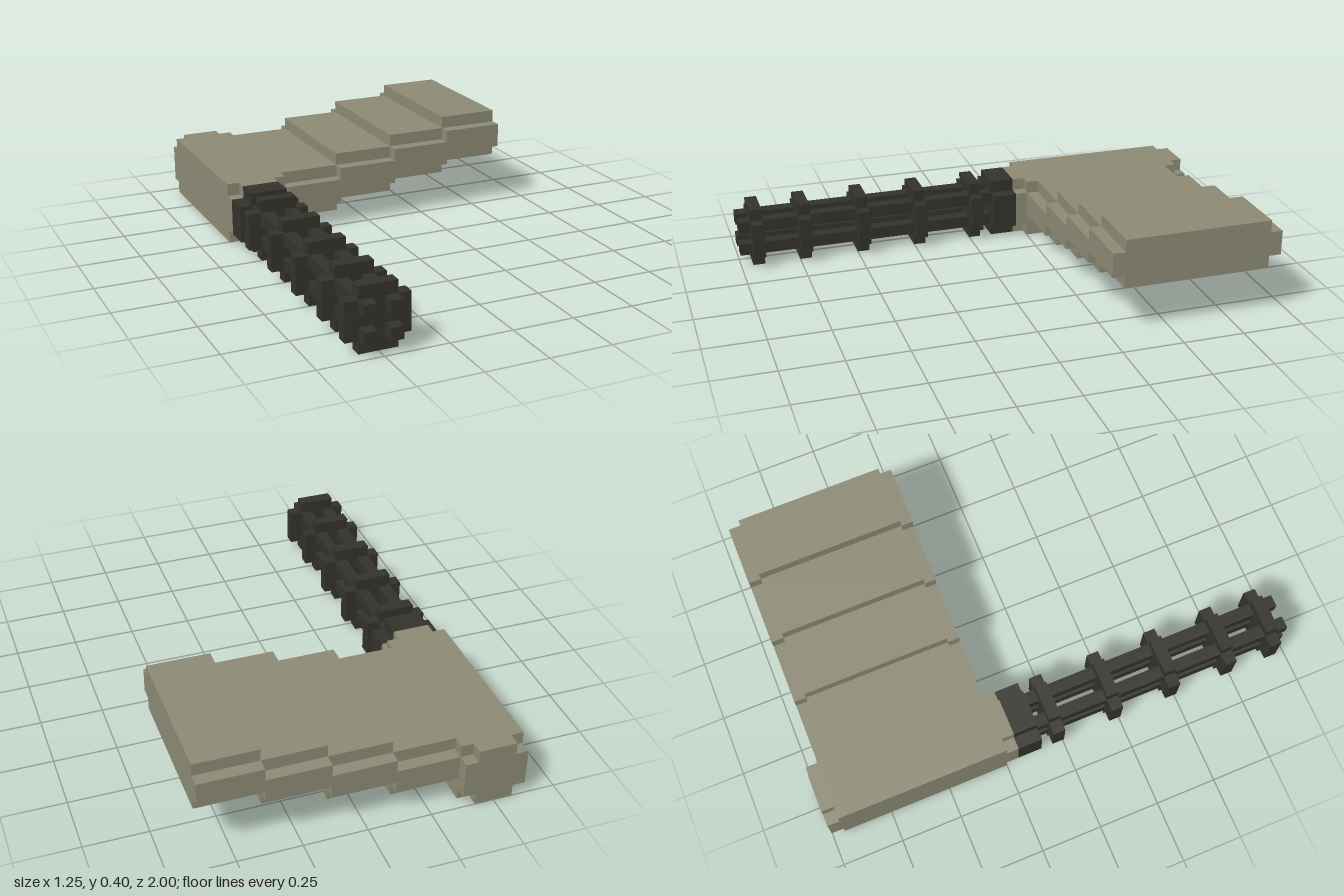
import * as THREE from 'three';

const U = 0.05; // one block unit
const stone = new THREE.MeshStandardMaterial({ color: 0x8c8974, flatShading: true });
stone.name = 'grey stone';
const grip = new THREE.MeshStandardMaterial({ color: 0x33322b, flatShading: true });
grip.name = 'dark grip';

// Box given by its centre and size
function box(parent, name, material, [x, y, z], [w, h, d]) {
  const mesh = new THREE.Mesh(new THREE.BoxGeometry(w, h, d), material);
  mesh.name = name;
  mesh.position.set(x, y, z);
  parent.add(mesh);
}

// Extruded plus-shaped slab, 5 units across with square corners removed
function plus(parent, name, material, [x, y, z0], depth) {
  const a = 2.5 * U, b = 1.5 * U;
  const shape = new THREE.Shape([
    [-b, -a], [b, -a], [b, -b], [a, -b], [a, b], [b, b],
    [b, a], [-b, a], [-b, b], [-a, b], [-a, -b], [-b, -b],
  ].map(([px, py]) => new THREE.Vector2(px, py)));
  const geometry = new THREE.ExtrudeGeometry(shape, { depth, bevelEnabled: false });
  const mesh = new THREE.Mesh(geometry, material);
  mesh.name = name;
  mesh.position.set(x, y, z0);
  parent.add(mesh);
}

export function createModel() {
  const model = new THREE.Group();
  model.name = 'steppedAxe';
  const cx = -0.5, cy = 0.125;

  // Handle: four thin rods bound by rings and a collar
  const handle = new THREE.Group();
  handle.name = 'handle';
  for (const sx of [-1, 1]) for (const sy of [-1, 1]) {
    box(handle, 'handleRod', grip, [cx + sx * U, cy + sy * U, 0.45], [U, U, 1.1]);
  }
  for (const z of [-0.05, 0.2, 0.45, 0.7, 0.9]) plus(handle, 'handleRing', grip, [cx, cy, z], U);
  plus(handle, 'collar', grip, [cx, cy, -0.2], 0.1);
  model.add(handle);

  // Head: solid block with notched corners
  const head = new THREE.Group();
  head.name = 'head';
  box(head, 'headCore', stone, [cx, cy, -0.6], [0.25, 0.25, 0.7]);
  plus(head, 'headFrontCap', stone, [cx, cy, -0.25], U);
  plus(head, 'headBackCap', stone, [cx, cy, -1], U);
  model.add(head);

  // Blade: four segments stepping upward, each with a wider middle layer
  const blade = new THREE.Group();
  blade.name = 'blade';
  for (let i = 0; i < 4; i++) {
    const x = -0.25 + i * 0.25, y = 0.15 + i * U;
    box(blade, 'bladeMiddle', stone, [x, y, -0.6], [0.25, 0.1, 0.7]);
    for (const s of [-1, 1]) {
      box(blade, s > 0 ? 'bladeTop' : 'bladeBottom', stone, [x, y + s * 0.075, -0.6], [0.25, U, 0.6]);
    }
  }
  model.add(blade);
  return model;
}
